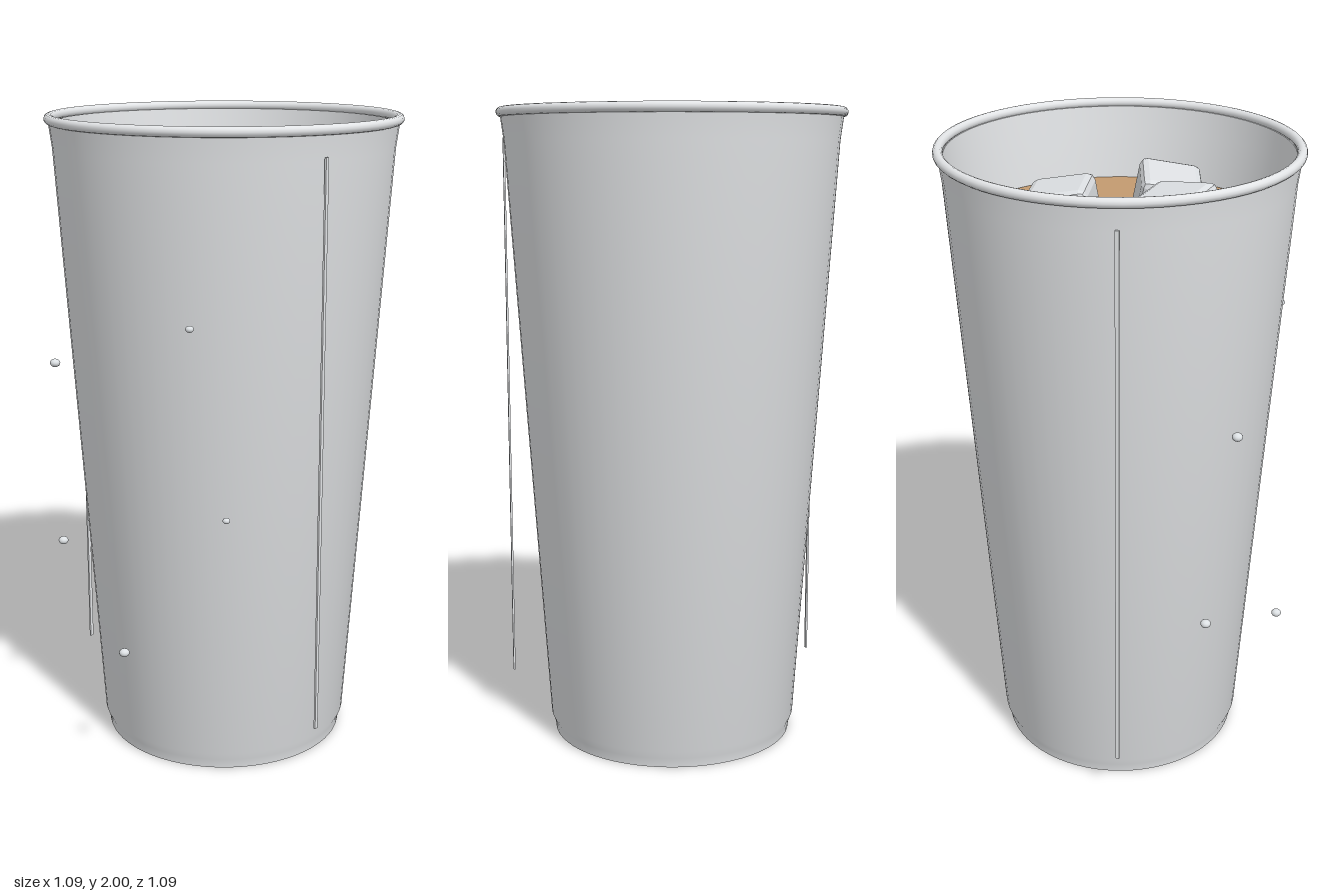
import * as THREE from 'three';
import { toCreasedNormals } from 'three/addons/utils/BufferGeometryUtils.js';
import { RoundedBoxGeometry } from 'three/addons/geometries/RoundedBoxGeometry.js';

const mat = (name, color) => {
  const m = new THREE.MeshStandardMaterial({ color });
  m.name = name;
  return m;
};

export function createModel() {
  const group = new THREE.Group();
  group.name = 'icedDrink';
  const cupMat = mat('cup white', 0xe4e6e8);
  const coffeeMat = mat('milky coffee', 0xc39a70);
  const swirlMat = mat('caramel swirl', 0xbe8b58);
  const iceMat = mat('ice', 0xdcdfe2);
  const dropMat = mat('water drop', 0xdde1e4);

  const add = (name, geometry, material, x = 0, y = 0, z = 0) => {
    const mesh = new THREE.Mesh(geometry, material);
    mesh.name = name;
    mesh.position.set(x, y, z);
    group.add(mesh);
    return mesh;
  };

  // Tapered cup: underside, outer wall, then down the inner wall
  const profile = [
    [0, 0], [0.385, 0], [0.389, 0.03], [0.399, 0.055],
    [0.52, 1.9], [0.53, 1.975],
    [0.514, 1.975], [0.506, 1.9], [0.485, 1.7], [0.388, 0.05], [0, 0.05],
  ].map(([r, y]) => new THREE.Vector2(r, y));
  add('cup', toCreasedNormals(new THREE.LatheGeometry(profile, 64), 0.5), cupMat);

  // Rolled lip
  const rim = new THREE.TorusGeometry(0.528, 0.015, 12, 64);
  rim.rotateX(Math.PI / 2);
  add('rim', rim, cupMat, 0, 1.985, 0);

  // Drink surface
  const level = 1.75;
  add('drink', new THREE.CylinderGeometry(0.486, 0.482, 0.04, 64), coffeeMat, 0, level - 0.02, 0);

  // Spiral of syrup on the surface
  const spiral = [];
  for (let i = 0; i <= 60; i++) {
    const a = (i / 60) * 11.55;
    const r = 0.035 + 0.0264 * a;
    spiral.push(new THREE.Vector3(r * Math.cos(a), 0, r * Math.sin(a)));
  }
  add('swirl', new THREE.TubeGeometry(new THREE.CatmullRomCurve3(spiral), 160, 0.009, 8),
    swirlMat, 0, level + 0.002, 0);

  // Ice cubes: size, position, tilt x, yaw, tilt z
  const cubes = [
    [0.2, 0.045, 1.745, -0.19, -0.16, 0.13, 0.06],
    [0.21, -0.225, 1.765, 0.025, 0.17, 0.16, -0.14],
    [0.205, -0.045, 1.78, 0.185, -0.15, -0.28, 0.08],
    [0.19, 0.185, 1.775, 0.095, 0.22, 0.33, 0.1],
  ];
  for (const [s, x, y, z, rx, ry, rz] of cubes) {
    const geo = toCreasedNormals(new RoundedBoxGeometry(s, s, s, 1, s * 0.12), 0.1);
    add('iceCube', geo, iceMat, x, y, z).rotation.set(rx, ry, rz, 'XZY');
  }

  // Thin seam strips on both sides
  for (const side of [1, -1]) {
    add('seamStrip', new THREE.BoxGeometry(0.006, 1.74, 0.012), cupMat, side * 0.508, 1.04, 0.138);
  }

  // Condensation drops: radius, position
  const drops = [
    [0.016, -0.305, 1.25, 0.44], [0.012, 0.28, 1.445, 0.45],
    [0.011, 0.36, 0.88, 0.385], [0.016, -0.366, 0.632, 0.377],
    [0.016, 0.068, 0.42, 0.525],
  ];
  for (const [r, x, y, z] of drops) {
    add('waterDrop', new THREE.SphereGeometry(r, 16, 12), dropMat, x, y, z).scale.y = 0.8;
  }
  return group;
}
